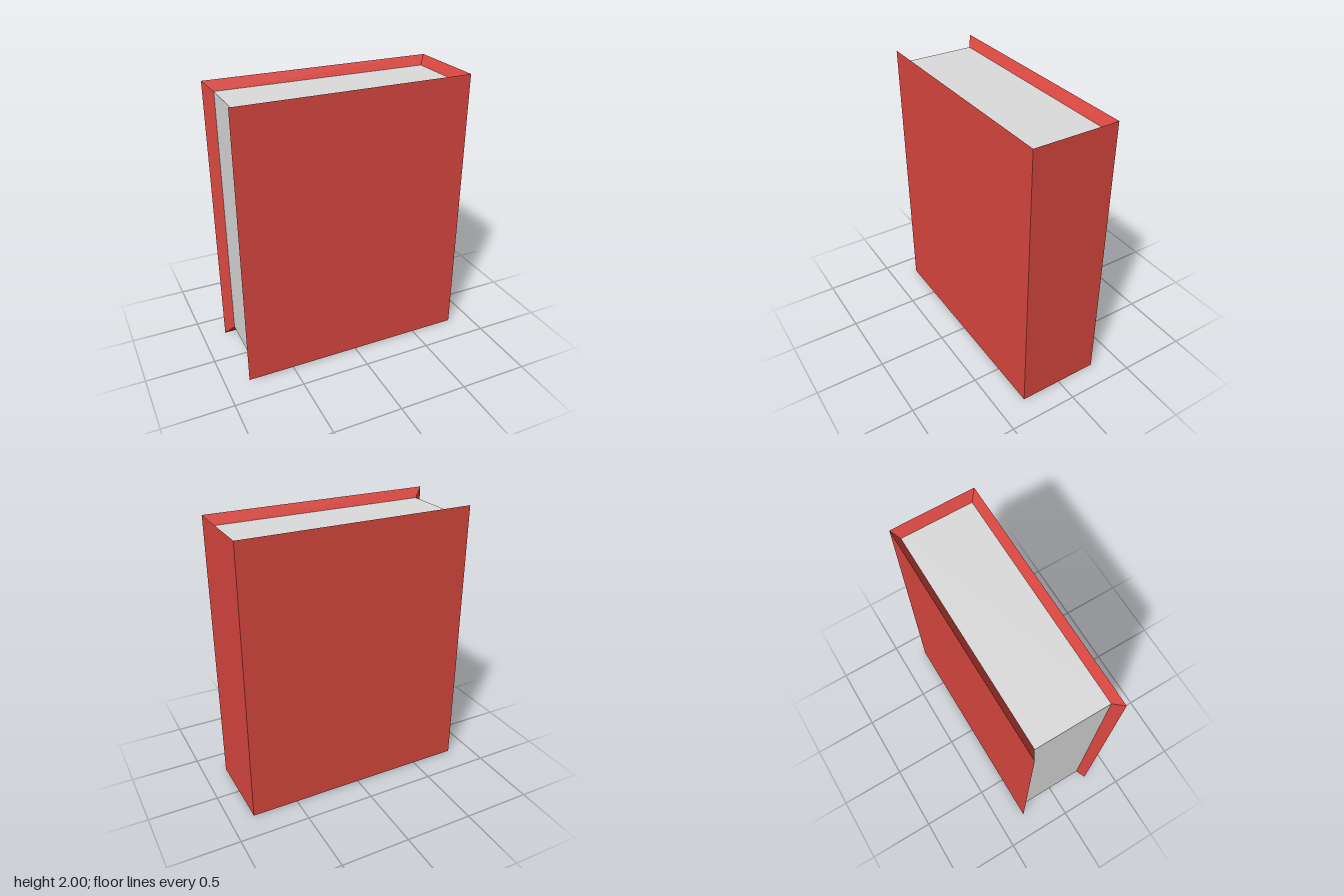
import * as THREE from 'three';

// Corners of a box, indexed [x][y][z] with 0 = low side and 1 = high side
function boxCorners(min, max) {
  const ends = [min, max];
  return [0, 1].map(i => [0, 1].map(j => [0, 1].map(k =>
    new THREE.Vector3(ends[i].x, ends[j].y, ends[k].z))));
}

// Flat quad, corners counter-clockwise as seen from its front
function quad(name, corners, material) {
  const geometry = new THREE.BufferGeometry().setFromPoints(
    [0, 1, 2, 0, 2, 3].map(i => corners[i]));
  geometry.computeVertexNormals();
  const mesh = new THREE.Mesh(geometry, material);
  mesh.name = name;
  return mesh;
}

export function createModel() {
  const coverRed = new THREE.MeshStandardMaterial({ color: 0xdb4740, side: THREE.DoubleSide });
  coverRed.name = 'coverRed';
  const pageGrey = new THREE.MeshStandardMaterial({ color: 0xdcdcdc });
  pageGrey.name = 'pageGrey';

  const book = new THREE.Group();
  book.name = 'book';

  const outerMin = new THREE.Vector3(-0.832, 0, -0.299);
  const outerMax = new THREE.Vector3(0.832, 2, 0.299);
  const innerMin = new THREE.Vector3(-0.766, 0.066, -0.254);
  const innerMax = new THREE.Vector3(0.786, 1.934, 0.254);
  const o = boxCorners(outerMin, outerMax);
  const n = boxCorners(innerMin, innerMax);

  // Cover boards and spine
  const cover = new THREE.Group();
  cover.name = 'cover';
  cover.add(
    quad('frontCover', [o[0][0][1], o[1][0][1], o[1][1][1], o[0][1][1]], coverRed),
    quad('backCover', [o[1][0][0], o[0][0][0], o[0][1][0], o[1][1][0]], coverRed),
    quad('spine', [o[1][0][1], o[1][0][0], o[1][1][0], o[1][1][1]], coverRed));

  // Bevelled rims sloping from the cover edge in to the pages
  const rim = (name, a, b) => cover.add(quad(name,
    [o[a[0]][a[1]][a[2]], o[b[0]][b[1]][b[2]], n[b[0]][b[1]][b[2]], n[a[0]][a[1]][a[2]]], coverRed));
  rim('topFrontRim', [0, 1, 1], [1, 1, 1]);
  rim('topSpineRim', [1, 1, 1], [1, 1, 0]);
  rim('topBackRim', [1, 1, 0], [0, 1, 0]);
  rim('bottomFrontRim', [1, 0, 1], [0, 0, 1]);
  rim('bottomSpineRim', [1, 0, 0], [1, 0, 1]);
  rim('bottomBackRim', [0, 0, 0], [1, 0, 0]);
  rim('foreEdgeFrontRim', [0, 0, 1], [0, 1, 1]);
  rim('foreEdgeBackRim', [0, 1, 0], [0, 0, 0]);
  book.add(cover);

  // Page block
  const size = innerMax.clone().sub(innerMin);
  const pages = new THREE.Mesh(new THREE.BoxGeometry(size.x, size.y, size.z), pageGrey);
  pages.position.copy(innerMin).add(innerMax).multiplyScalar(0.5);
  pages.name = 'pages';
  book.add(pages);

  return book;
}
